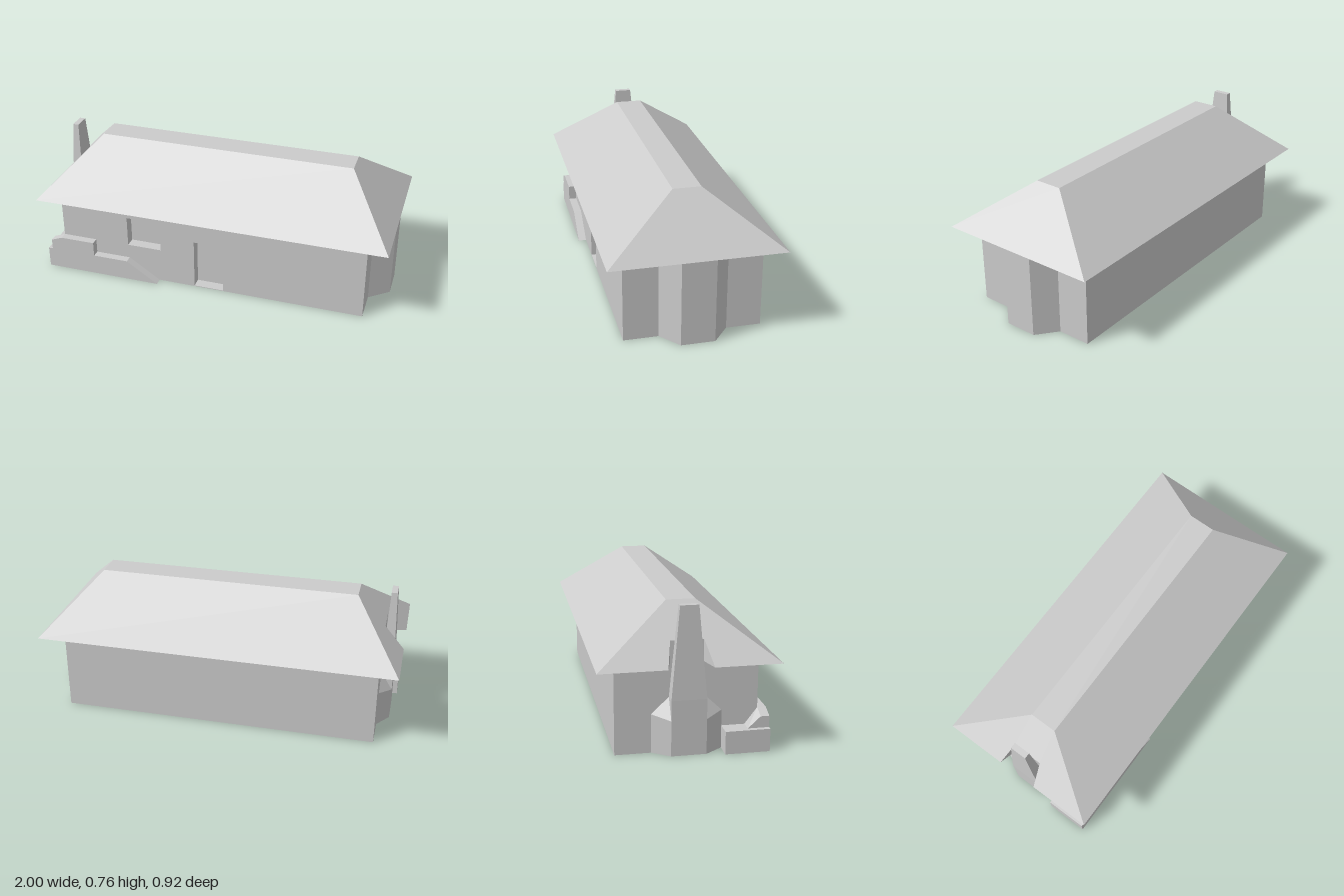
import * as THREE from 'three';

const EAVE = 0.465;
const material = new THREE.MeshStandardMaterial({ color: 0xcccccc, flatShading: true });

function add(group, name, geometry) {
  const mesh = new THREE.Mesh(geometry, material);
  mesh.name = name;
  group.add(mesh);
  return mesh;
}

// Flat polygons, each a counter-clockwise corner list, fanned into triangles
function polygons(faces) {
  const pos = [];
  for (const f of faces)
    for (let i = 1; i < f.length - 1; i++) pos.push(...f[0], ...f[i], ...f[i + 1]);
  const g = new THREE.BufferGeometry();
  g.setAttribute('position', new THREE.Float32BufferAttribute(pos, 3));
  g.computeVertexNormals();
  return g;
}

const mirrorZ = (face) => face.map(([x, y, z]) => [x, y, -z]).reverse();
const shapeOf = (pts) => new THREE.Shape(pts.map((p) => new THREE.Vector2(...p)));
const extrude = (shape, depth) => new THREE.ExtrudeGeometry(shape, { depth, bevelEnabled: false });

function roofGeometry() {
  const e = EAVE, t = 0.745, n = 0.579;
  const A = [-1, e, -0.46], B = [-1, e, 0.46], C = [-0.73, t, 0.075], D = [-0.73, t, -0.075];
  const A2 = [1, e, -0.46], B2 = [1, e, 0.46], C2 = [0.73, t, 0.075], D2 = [0.73, t, -0.075];
  // corners of the cut-out around the chimney
  const N1 = [-1, e, -0.115], N2 = [-0.89, n, -0.085], N3 = [-0.89, n, 0.085], N4 = [-1, e, 0.115];
  const M2 = [-0.89, e, -0.085], M3 = [-0.89, e, 0.085];
  return polygons([
    [B, B2, C2, C], [A2, A, D, D2], [B2, A2, D2, C2], [C, C2, D2, D],
    [A, N1, N2, D], [N2, N3, C, D], [N3, N4, B, C],
    [N1, M2, N2], [M3, N4, N3], [M2, M3, N3, N2],
    [A, A2, M2, N1], [M2, A2, B2, M3], [N4, M3, B2, B],
  ]);
}

function chimneyGeometry() {
  const ring = (y, x0, x1, z) => [[x0, y, z], [x1, y, z], [x1, y, -z], [x0, y, -z]];
  const rings = [ring(0, -0.955, -0.88, 0.09), ring(0.29, -0.955, -0.885, 0.09), ring(0.765, -0.938, -0.905, 0.047)];
  const faces = [rings[2]];
  for (let r = 0; r < 2; r++)
    for (let i = 0; i < 4; i++) {
      const j = (i + 1) % 4;
      faces.push([rings[r][i], rings[r][j], rings[r + 1][j], rings[r + 1][i]]);
    }
  // splayed hearth with sloping shoulders
  const P = [-0.955, 0, 0.09], Q = [-0.89, 0, 0.18], Pt = [-0.955, 0.185, 0.09], Qt = [-0.89, 0.205, 0.18];
  for (const f of [[P, Q, Qt, Pt], [Pt, Qt, [-0.89, 0.29, 0.09]]]) faces.push(f, mirrorZ(f));
  faces.push([[-0.955, 0, -0.09], [-0.89, 0, -0.18], Q, P]);
  return polygons(faces);
}

export function createModel() {
  const house = new THREE.Group();
  house.name = 'house';

  // Main walls with the bay on the left end; plan is drawn as (x, -z)
  const plan = shapeOf([
    [-0.89, -0.305], [0.88, -0.305], [0.88, -0.18], [0.99, -0.09],
    [0.99, 0.09], [0.88, 0.18], [0.88, 0.365], [-0.89, 0.365],
  ]);
  add(house, 'wallsAndBay', extrude(plan, EAVE).rotateX(-Math.PI / 2));

  // Front wall layer with the doorway and window opening
  const front = shapeOf([
    [-0.89, 0], [-0.09, 0], [-0.09, 0.295], [0.082, 0.295],
    [0.082, 0], [0.88, 0], [0.88, EAVE], [-0.89, EAVE],
  ]);
  front.holes.push(new THREE.Path([
    [-0.49, 0.205], [-0.49, 0.383], [-0.29, 0.383], [-0.29, 0.205],
  ].map((p) => new THREE.Vector2(...p))));
  add(house, 'frontWall', extrude(front, 0.06)).position.z = 0.305;
  add(house, 'doorSill', new THREE.BoxGeometry(0.172, 0.004, 0.06)).position.set(-0.004, 0.002, 0.335);

  add(house, 'roof', roofGeometry());
  add(house, 'chimney', chimneyGeometry());

  // Stepped low wall along the front, wrapping round the right corner
  const lowWall = new THREE.Group();
  lowWall.name = 'lowWall';
  const profile = shapeOf([
    [-0.98, 0], [-0.305, 0], [-0.485, 0.12], [-0.69, 0.12], [-0.69, 0.205],
    [-0.89, 0.205], [-0.955, 0.18], [-0.955, 0.12], [-0.98, 0.12],
  ]);
  add(lowWall, 'steppedFront', extrude(profile, 0.045)).position.z = 0.365;
  add(lowWall, 'cornerReturn', new THREE.BoxGeometry(0.09, 0.12, 0.185)).position.set(-0.935, 0.06, 0.2725);
  const a = [-0.955, 0.12, 0.3], b = [-0.89, 0.12, 0.3];
  const c = [-0.955, 0.18, 0.365], d = [-0.89, 0.205, 0.365];
  add(lowWall, 'cornerSlope', polygons([[a, c, d, b], [a, [-0.955, 0.12, 0.365], c]]));
  house.add(lowWall);

  return house;
}
